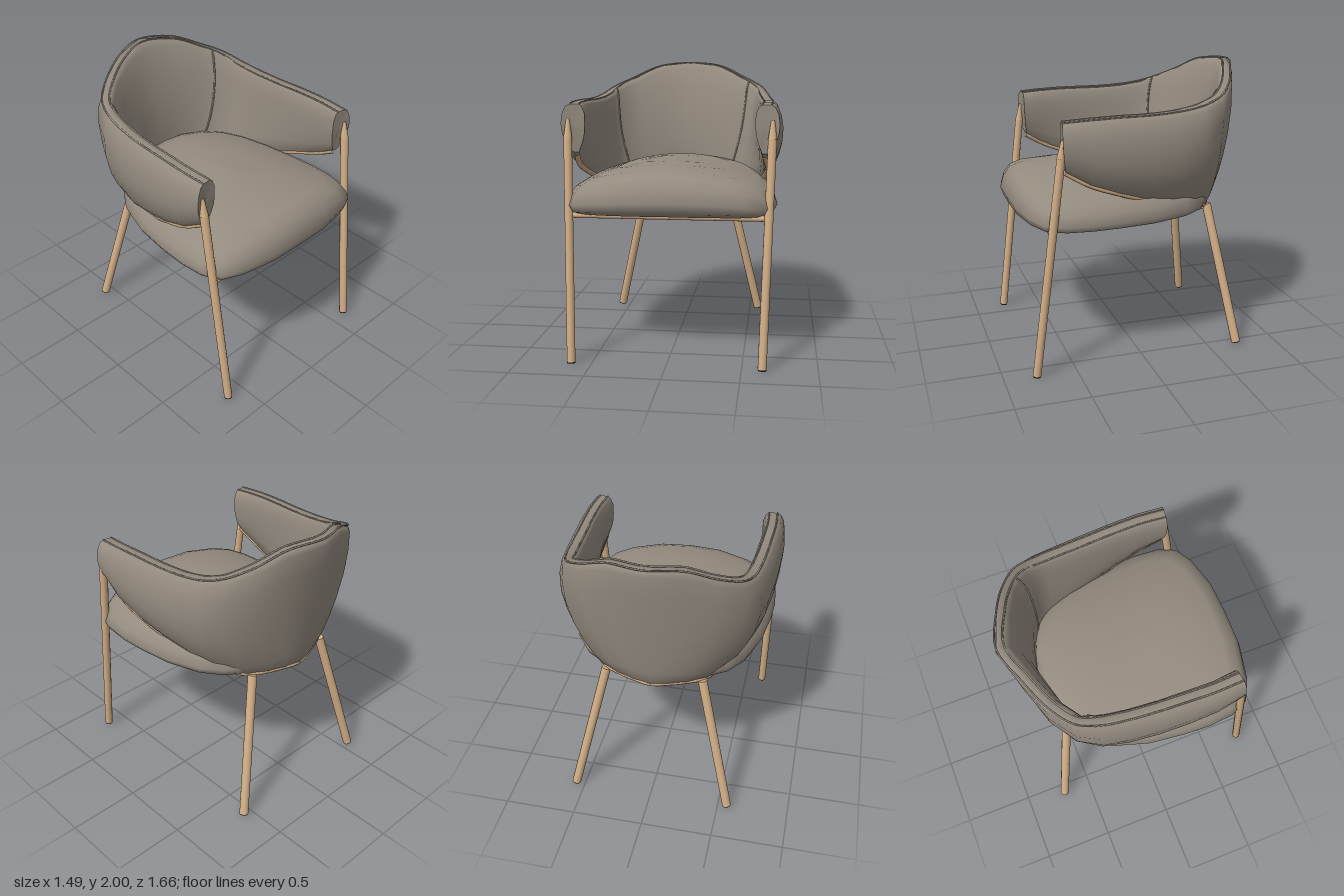
import * as THREE from 'three';

const V = (x, y, z) => new THREE.Vector3(x, y, z);
const lerp = THREE.MathUtils.lerp;

const fabric = new THREE.MeshStandardMaterial({ color: 0x958c80 });
fabric.name = 'greyFabric';
const wood = new THREE.MeshStandardMaterial({ color: 0xd2ae86 });
wood.name = 'lightWood';
const pad = new THREE.MeshStandardMaterial({ color: 0x1c1a18 });
pad.name = 'darkPad';

function mesh(name, geometry, material) {
  const m = new THREE.Mesh(geometry, material);
  m.name = name;
  return m;
}

// Smooth skin over rows of points; every row is a closed loop
function skin(rows) {
  const n = rows[0].length, index = [];
  for (let i = 0; i < rows.length - 1; i++) {
    for (let j = 0; j < n; j++) {
      const k = (j + 1) % n;
      const a = i * n + j, b = (i + 1) * n + j, c = (i + 1) * n + k, d = i * n + k;
      index.push(a, b, c, a, c, d);
    }
  }
  const g = new THREE.BufferGeometry().setFromPoints(rows.flat());
  g.setIndex(index);
  g.computeVertexNormals();
  return g;
}

// Round bar from a to b
function bar(name, a, b, ra, rb = ra, material = wood) {
  const d = b.clone().sub(a);
  const m = mesh(name, new THREE.CylinderGeometry(rb, ra, d.length(), 12), material);
  m.position.copy(a).addScaledVector(d, 0.5);
  m.quaternion.setFromUnitVectors(V(0, 1, 0), d.normalize());
  return m;
}

function tube(name, points, r, material, sides = 8) {
  const curve = new THREE.CatmullRomCurve3(points, false, 'centripetal');
  return mesh(name, new THREE.TubeGeometry(curve, points.length * 4, r, sides), material);
}

// Shell stations, arm front to back centre:
// top x, z, y | middle x, z | bottom x, z, y
const half = [
  [0.69, 0.585, 1.72, 0.722, 0.59, 0.655, 0.56, 1.40],
  [0.70, 0.40, 1.73, 0.745, 0.40, 0.675, 0.40, 1.31],
  [0.695, 0.20, 1.735, 0.742, 0.20, 0.66, 0.20, 1.235],
  [0.685, 0.00, 1.735, 0.73, 0.00, 0.625, 0.00, 1.17],
  [0.67, -0.20, 1.745, 0.705, -0.20, 0.575, -0.20, 1.11],
  [0.645, -0.38, 1.77, 0.665, -0.38, 0.49, -0.38, 1.055],
  [0.585, -0.54, 1.82, 0.575, -0.53, 0.37, -0.53, 1.02],
  [0.44, -0.665, 1.89, 0.40, -0.65, 0.24, -0.60, 1.015],
  [0.25, -0.755, 1.975, 0.22, -0.705, 0.12, -0.645, 1.015],
  [0, -0.835, 2.0, 0, -0.755, 0, -0.675, 1.015],
];
const flip = s => [-s[0], s[1], s[2], -s[3], s[4], -s[5], s[6], s[7]];
const stations = [...half, ...half.slice(0, -1).reverse().map(flip)];

// Point of the shell at station i, height v (0..1), depth d inward from the outside
function shellPoint(i, v, d) {
  const s = stations[i];
  const p = stations[Math.max(i - 1, 0)], q = stations[Math.min(i + 1, stations.length - 1)];
  const tx = q[3] - p[3], tz = q[4] - p[4], l = Math.hypot(tx, tz);
  const wb = 2 * (v - 0.5) * (v - 1), wm = -4 * v * (v - 1), wt = 2 * v * (v - 0.5);
  const depth = d * (Math.abs(i - 9) < 4 ? 0.88 : 1);
  return V(
    wb * s[5] + wm * s[3] + wt * s[0] + (tz / l) * depth,
    lerp(s[7], s[2], v),
    wb * s[6] + wm * s[4] + wt * s[1] - (tx / l) * depth
  );
}

function createShell() {
  const g = new THREE.Group();
  g.name = 'backrestShell';
  // Section: up the outside, over the top, down the padded inside
  const section = [
    [0, 0.01], [0.1, 0], [0.25, 0], [0.4, 0], [0.6, 0], [0.8, 0], [0.95, 0.004], [1, 0.025],
    [1, 0.085], [0.95, 0.115], [0.8, 0.15], [0.6, 0.16], [0.4, 0.15], [0.2, 0.11], [0, 0.045],
  ];
  const rows = stations.map((_, i) => section.map(([v, d]) => shellPoint(i, v, d)));
  g.add(mesh('shellBody', skin(rows), fabric));

  // Flat ends of the arms
  const middle = row => {
    const c = row.reduce((sum, p) => sum.add(p), V(0, 0, 0)).divideScalar(row.length);
    return row.map(() => c.clone());
  };
  const last = rows[rows.length - 1];
  g.add(mesh('leftArmEnd', skin([middle(rows[0]), rows[0]]), fabric));
  g.add(mesh('rightArmEnd', skin([last, middle(last)]), fabric));

  // Piping along both top edges
  for (const [name, d] of [['outerPiping', 0.025], ['innerPiping', 0.085]]) {
    g.add(tube(name, stations.map((_, i) => shellPoint(i, 1, d)), 0.006, fabric, 6));
  }
  // Upright seams on the inside
  const seam = (name, i, f) => tube(name, section.slice(8, 14).map(([v, d]) =>
    shellPoint(i, v, d).lerp(shellPoint(i + 1, v, d), f)), 0.007, fabric, 6);
  g.add(seam('leftSeam', 6, 0.45), seam('rightSeam', 12, 0.35));
  return g;
}

function createSeat() {
  const side = [
    [0.25, 0.83], [0.5, 0.78], [0.64, 0.71], [0.7, 0.58], [0.715, 0.4], [0.705, 0.2], [0.675, -0.05],
    [0.6, -0.3], [0.5, -0.45], [0.36, -0.55], [0.18, -0.61],
  ];
  const plan = [[0, 0.835], ...side, [0, -0.62], ...side.slice().reverse().map(([x, z]) => [-x, z])];
  // Rings from crown to underside: scale, height
  const rings = [
    [0, 1.32], [0.3, 1.32], [0.55, 1.315], [0.8, 1.295], [0.91, 1.26], [0.97, 1.19],
    [1, 1.1], [0.97, 1.035], [0.9, 1.005], [0.8, 1.0], [0, 1.0],
  ];
  const rows = rings.map(([s, y]) => plan.map(([px, pz]) => {
    const x = px * s, fall = (x / 0.7) ** 2;
    return V(x, y - fall * (0.015 + 0.36 * (y - 1)), 0.1 + (pz - 0.1) * s);
  }));
  return mesh('seatCushion', skin(rows), fabric);
}

function createFrame() {
  const g = new THREE.Group();
  g.name = 'woodFrame';
  const joint = V(0, 0.987, 0.645);
  for (const [side, m] of [['left', 1], ['right', -1]]) {
    const leg = (name, foot, top, r) => {
      const sole = foot.clone().lerp(top, 0.006);
      g.add(bar(side + name, sole, top, r));
      g.add(bar(side + name + 'Pad', foot, sole, r * 0.95, r * 0.95, pad));
    };
    const shoulder = V(m * 0.676, 1.5, 0.595);
    leg('FrontLeg', V(m * 0.635, 0.006, 0.78), shoulder, 0.029);
    g.add(bar(side + 'FrontLegTip', shoulder, V(m * 0.677, 1.62, 0.58), 0.029, 0.012));
    const hip = V(m * 0.335, 1.01, -0.545);
    leg('BackLeg', V(m * 0.565, 0.01, -0.71), hip, 0.032);
    g.add(bar(side + 'SeatRail', hip.clone().setY(0.99), joint, 0.02));
  }
  g.add(bar('frontRail', V(-0.668, 0.987, 0.648), V(0.668, 0.987, 0.648), 0.019));

  // Bent rail following the lower edge of the shell
  const path = stations.map((_, i) => shellPoint(i, 0, 0.03).add(V(0, -0.006, 0)));
  g.add(tube('bentRail', path, 0.02, wood));
  return g;
}

export function createModel() {
  const model = new THREE.Group();
  model.name = 'armchair';
  model.add(createShell(), createSeat(), createFrame());
  return model;
}
